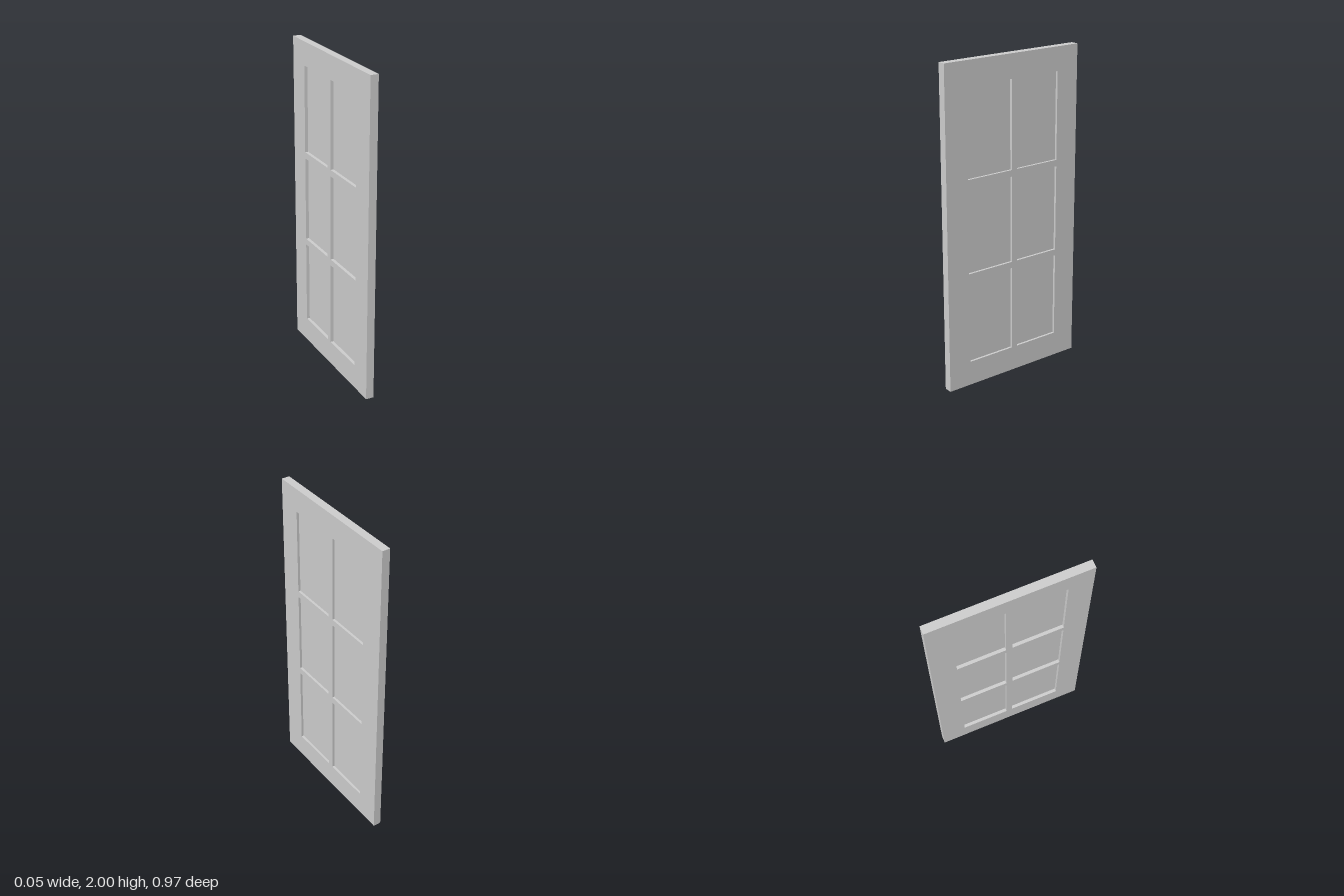
import * as THREE from 'three';

const HEIGHT = 2, HALF_WIDTH = 0.483, THICKNESS = 0.05;

// Panel openings: spans across the door (u = -z) and up it
const COLUMNS = [[-0.333, -0.013], [0.027, 0.331]];
const ROWS = [[0.154, 0.687], [0.727, 1.267], [1.308, 1.853]];

function rectangle(path, u0, u1, y0, y1) {
  path.moveTo(u0, y0);
  path.lineTo(u1, y0);
  path.lineTo(u1, y1);
  path.lineTo(u0, y1);
  path.closePath();
  return path;
}

// Drops the triangles lying flat on the ground, leaving the hollow underside open
function openBottom(geometry) {
  const p = geometry.attributes.position;
  const kept = [];
  for (let i = 0; i < p.count; i += 3) {
    const top = Math.max(p.getY(i), p.getY(i + 1), p.getY(i + 2));
    if (top < 1e-5) continue;
    for (let k = i; k < i + 3; k++) kept.push(p.getX(k), p.getY(k), p.getZ(k));
  }
  const open = new THREE.BufferGeometry();
  open.setAttribute('position', new THREE.Float32BufferAttribute(kept, 3));
  open.computeVertexNormals();
  return open;
}

export function createModel() {
  const door = new THREE.Group();
  door.name = 'door';
  const material = new THREE.MeshStandardMaterial({ color: 0xcccccc, side: THREE.DoubleSide });

  // Frame: outer border with the crossing bars between six openings
  const outline = rectangle(new THREE.Shape(), -HALF_WIDTH, HALF_WIDTH, 0, HEIGHT);
  for (const [u0, u1] of COLUMNS)
    for (const [y0, y1] of ROWS)
      outline.holes.push(rectangle(new THREE.Path(), u0, u1, y0, y1));
  const solid = new THREE.ExtrudeGeometry(outline, { depth: THICKNESS, bevelEnabled: false });
  solid.translate(0, 0, -THICKNESS / 2);
  solid.rotateY(Math.PI / 2);
  const frame = new THREE.Mesh(openBottom(solid), material);
  frame.name = 'frame';
  door.add(frame);

  // Inner board: shows as the recessed panels, deeper on the -x side
  const bottom = 0.005, top = 1.92;
  const board = new THREE.Mesh(new THREE.BoxGeometry(0.015, top - bottom, 0.75), material);
  board.position.set(0.0025, (top + bottom) / 2, 0);
  board.name = 'innerBoard';
  door.add(board);

  return door;
}
